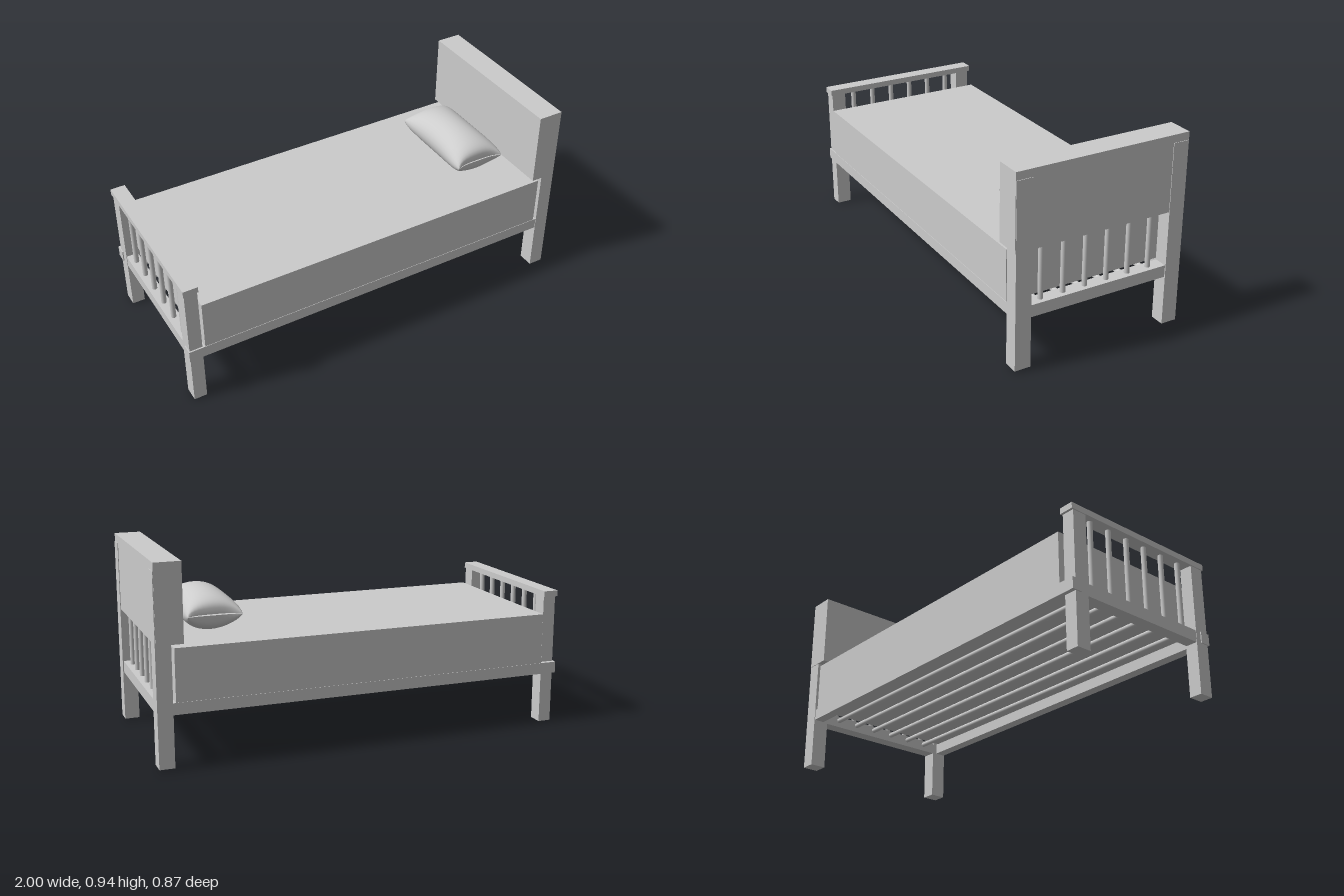
import * as THREE from 'three';
import { ParametricGeometry } from 'three/addons/geometries/ParametricGeometry.js';

export function createModel() {
  const group = new THREE.Group();
  const grey = new THREE.MeshStandardMaterial({ color: 0xcccccc });
  grey.name = 'plain grey';

  const add = (name, geometry) => {
    const mesh = new THREE.Mesh(geometry, grey);
    mesh.name = name;
    group.add(mesh);
    return mesh;
  };
  // Box given by its limits on each axis
  const box = (name, [x0, x1], [y0, y1], [z0, z1]) =>
    add(name, new THREE.BoxGeometry(x1 - x0, y1 - y0, z1 - z0))
      .position.set((x0 + x1) / 2, (y0 + y1) / 2, (z0 + z1) / 2);

  // Headboard: tall posts set into a thick panel, and a low cross rail
  box('headPostLeft', [0.928, 1], [0.008, 0.9], [0.352, 0.43]);
  box('headPostRight', [0.928, 1], [0.008, 0.9], [-0.43, -0.352]);
  box('headPanel', [0.872, 0.997], [0.573, 0.938], [-0.433, 0.433]);
  box('headRail', [0.93, 0.995], [0.25, 0.308], [-0.36, 0.36]);

  // Footboard: short posts, cap and a low cross rail
  box('footPostLeft', [-0.995, -0.932], [0, 0.645], [0.347, 0.42]);
  box('footPostRight', [-0.995, -0.932], [0, 0.645], [-0.406, -0.333]);
  box('footCap', [-1, -0.928], [0.638, 0.667], [-0.418, 0.426]);
  box('footRail', [-0.993, -0.935], [0.25, 0.308], [-0.35, 0.35]);

  // Side rails
  box('sideRailLeft', [-1, 0.928], [0.253, 0.308], [0.375, 0.427]);
  box('sideRailRight', [-1, 0.928], [0.253, 0.308], [-0.427, -0.375]);

  // Spindles at both ends, with round slats running under the mattress
  const rod = (name, length) => add(name, new THREE.CylinderGeometry(0.0125, 0.0125, length, 16));
  for (let i = 0; i < 6; i++) {
    const z = 0.285 - i * 0.1125;
    rod('headSpindle', 0.29).position.set(0.962, 0.44, z);
    rod('footSpindle', 0.35).position.set(-0.964, 0.473, z);
    const slat = rod('slat', 1.9);
    slat.rotation.z = Math.PI / 2;
    slat.position.set(0, 0.285, z);
  }

  // Mattress
  box('mattress', [-0.92, 0.914], [0.306, 0.555], [-0.425, 0.425]);

  // Pillow: oval sections along z, pinched flat at the ends and pressed flat below
  const pillow = new ParametricGeometry((u, v, p) => {
    const a = u * Math.PI * 2;
    const b = (v - 0.5) * Math.PI;
    const s = Math.sin(b);
    const width = 0.122 + 0.018 * s * s - 0.012 * s ** 8;
    const height = 0.003 + 0.095 * Math.pow(Math.max(Math.cos(b), 0), 0.55);
    const y = 0.643 + height * Math.sin(a);
    const corner = 0.02 * Math.cos(a) ** 4 * s ** 4;
    p.set(0.68 + width * Math.cos(a), Math.max(y, 0.556), 0.23 * s + Math.sign(s) * corner);
  }, 32, 28);
  add('pillow', pillow);

  return group;
}
